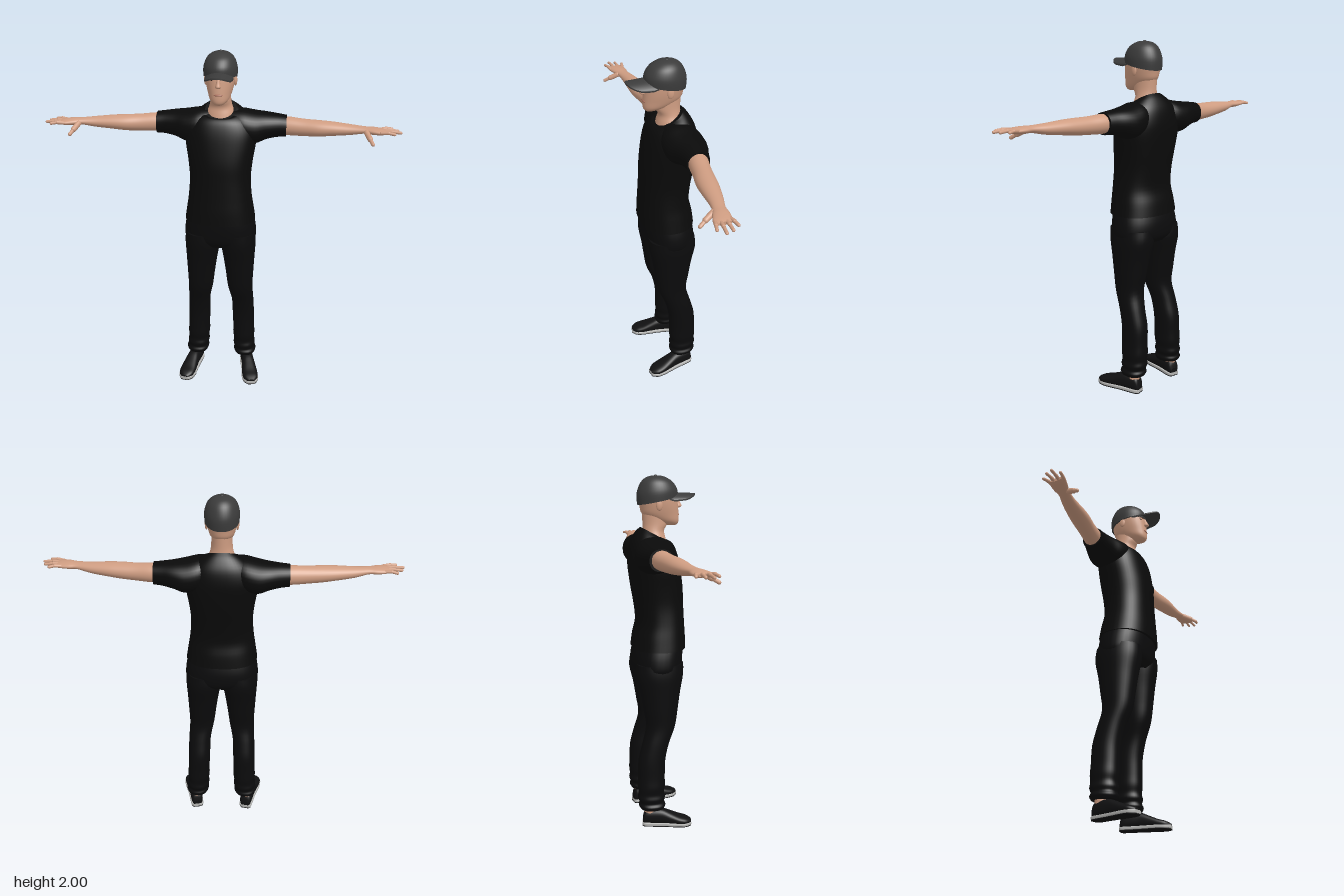
import * as THREE from 'three';
import { mergeGeometries } from 'three/addons/utils/BufferGeometryUtils.js';

const material = (name, color) => Object.assign(new THREE.MeshStandardMaterial({ color }), { name });

// Which coordinate is the axis, then the two across it
const AXES = { y: [1, 0, 2], x: [0, 2, 1], z: [2, 1, 0] };

const spline = (a, b, c, d, t) =>
  0.5 * (2 * b + (c - a) * t + (2 * a - 5 * b + 4 * c - d) * t * t + (3 * b - a - 3 * c + d) * t * t * t);

// Smooth skin over cross-sections, each row: [position, u0, u1, v0, v1, tilt]
function loft(axis, rows, { exp = 2, sides = 32, steps = 4 } = {}) {
  const [P, U, V] = AXES[axis];
  const at = (i, k) => rows[Math.min(Math.max(i, 0), rows.length - 1)][k] ?? 0;
  const rings = [];
  for (let i = 0; i < rows.length - 1; i++) {
    for (let s = 0; s < steps; s++) {
      rings.push([0, 1, 2, 3, 4, 5].map(k => spline(at(i - 1, k), at(i, k), at(i + 1, k), at(i + 2, k), s / steps)));
    }
  }
  rings.push([0, 1, 2, 3, 4, 5].map(k => at(rows.length - 1, k)));

  const pos = [], index = [];
  const push = (p, u, v) => {
    const q = [0, 0, 0];
    q[P] = p; q[U] = u; q[V] = v;
    pos.push(...q);
  };
  const round = c => Math.sign(c) * Math.abs(c) ** (2 / exp);
  const addRing = ([p, u0, u1, v0, v1, tilt]) => {
    for (let j = 0; j < sides; j++) {
      const t = (j / sides) * Math.PI * 2, s = round(Math.sin(t));
      push(p + tilt * s, (u0 + u1) / 2 + (u1 - u0) / 2 * round(Math.cos(t)), (v0 + v1) / 2 + (v1 - v0) / 2 * s);
    }
  };
  rings.forEach(addRing);
  for (let i = 0; i < rings.length - 1; i++) {
    for (let j = 0; j < sides; j++) {
      const a = i * sides + j, b = i * sides + (j + 1) % sides;
      index.push(a, a + sides, b, b, a + sides, b + sides);
    }
  }
  // End caps with their own vertices, so the rims stay sharp
  [rings[0], rings[rings.length - 1]].forEach((r, end) => {
    const start = pos.length / 3;
    addRing(r);
    push(r[0], (r[1] + r[2]) / 2, (r[3] + r[4]) / 2);
    for (let j = 0; j < sides; j++) {
      const a = start + j, b = start + (j + 1) % sides, c = start + sides;
      index.push(...(end ? [a, c, b] : [a, b, c]));
    }
  });
  const geo = new THREE.BufferGeometry();
  geo.setAttribute('position', new THREE.Float32BufferAttribute(pos, 3));
  geo.setIndex(index);
  geo.computeVertexNormals();
  return geo;
}

// Rows symmetrical in x: [y, half width, back z, front z, tilt]
const sym = rows => rows.map(([y, w, b, f, t = 0]) => [y, -w, w, b, f, t]);

// Rounded rod between two points
function rod(a, b, r) {
  const A = new THREE.Vector3(...a), B = new THREE.Vector3(...b);
  const dir = B.clone().sub(A), mid = A.add(B).multiplyScalar(0.5);
  const geo = new THREE.CapsuleGeometry(r, dir.length(), 5, 10);
  geo.applyQuaternion(new THREE.Quaternion().setFromUnitVectors(new THREE.Vector3(0, 1, 0), dir.normalize()));
  geo.deleteAttribute('uv');
  return geo.translate(mid.x, mid.y, mid.z);
}

const blob = (x, y, z, sx, sy, sz) => new THREE.SphereGeometry(1, 20, 14).scale(sx, sy, sz).translate(x, y, z);

function mirrored(geo) {
  const m = geo.clone().scale(-1, 1, 1), ix = m.index.array;
  for (let i = 0; i < ix.length; i += 3) [ix[i], ix[i + 1]] = [ix[i + 1], ix[i]];
  return m;
}

export function createModel() {
  const skin = material('skin', 0xcf9d82), shirt = material('shirt black', 0x0a0a0a);
  const trousers = material('trouser black', 0x0b0b0c), shoe = material('shoe black', 0x111112);
  const sole = material('sole grey', 0xb4b4b2), cap = material('cap grey', 0x3b3b3b);
  const dark = material('eye brown', 0x2c1d17), lip = material('lip', 0xa9705e), brow = material('brow', 0x6b4a3b);

  const model = new THREE.Group();
  model.name = 'man';
  const add = (name, geo, mat) => {
    const mesh = new THREE.Mesh(geo, mat);
    mesh.name = name;
    model.add(mesh);
  };
  const pair = (name, geo, mat) => {
    add('left ' + name, geo, mat);
    add('right ' + name, mirrored(geo), mat);
  };

  // Head and neck
  add('head', loft('y', sym([
    [1.728, 0.02, 0.03, 0.078], [1.738, 0.036, 0.0, 0.09], [1.757, 0.053, -0.05, 0.095], [1.79, 0.066, -0.108, 0.094],
    [1.83, 0.076, -0.122, 0.09], [1.87, 0.081, -0.128, 0.085], [1.91, 0.08, -0.12, 0.074], [1.95, 0.06, -0.09, 0.04],
  ]), { exp: 2.15 }), skin);
  add('neck', loft('y', sym([
    [1.6, 0.08, -0.1, 0.035], [1.66, 0.077, -0.108, 0.02], [1.7, 0.062, -0.108, 0.012],
    [1.74, 0.056, -0.107, 0.03], [1.8, 0.055, -0.11, 0.03],
  ])), skin);
  add('nose', loft('y', sym([
    [1.822, 0.01, 0.07, 0.098], [1.831, 0.016, 0.07, 0.112], [1.85, 0.011, 0.07, 0.104], [1.88, 0.008, 0.06, 0.09],
  ]), { sides: 16 }), skin);
  pair('ear', blob(0.08, 1.842, -0.03, 0.009, 0.03, 0.018).rotateX(0), skin);
  pair('eye', blob(0.033, 1.863, 0.071, 0.012, 0.005, 0.009), dark);
  pair('eyebrow', rod([0.02, 1.878, 0.08], [0.048, 1.879, 0.066], 0.0035), brow);
  add('mouth', blob(0, 1.786, 0.087, 0.024, 0.007, 0.011), lip);

  // Cap: dome, curved bill and button
  add('cap dome', loft('y', sym([
    [1.862, 0.09, -0.135, 0.087, 0.022], [1.91, 0.091, -0.138, 0.085, 0.012], [1.955, 0.077, -0.12, 0.062, 0.004],
    [1.98, 0.054, -0.094, 0.032], [1.992, 0.027, -0.064, 0.002], [1.995, 0.003, -0.035, -0.029],
  ]), { sides: 40 }), cap);
  const bill = new THREE.BoxGeometry(2, 0.008, 1, 24, 1, 8);
  const p = bill.attributes.position;
  for (let i = 0; i < p.count; i++) {
    const u = p.getX(i), v = p.getZ(i) + 0.5;
    const front = 0.06 + 0.125 * Math.max(0, 1 - u * u) ** 0.4;
    p.setXYZ(i, 0.075 * u, 1.903 - 0.032 * u * u - 0.008 * v + p.getY(i), 0.03 + v * (front - 0.03));
  }
  bill.computeVertexNormals();
  add('cap bill', bill, cap);
  add('cap button', blob(0, 1.994, -0.034, 0.009, 0.005, 0.009), cap);

  // Shirt body with a scooped collar, and sleeves
  add('shirt body', loft('y', sym([
    [1.05, 0.2, -0.175, 0.127], [1.12, 0.189, -0.165, 0.125], [1.2, 0.177, -0.148, 0.12], [1.3, 0.171, -0.158, 0.115],
    [1.4, 0.18, -0.175, 0.11], [1.5, 0.195, -0.187, 0.095], [1.57, 0.193, -0.188, 0.08], [1.63, 0.165, -0.175, 0.062, -0.01],
    [1.668, 0.118, -0.145, 0.042, -0.025], [1.68, 0.086, -0.117, 0.031, -0.04],
  ]), { exp: 2.35, sides: 48 }), shirt);
  pair('sleeve', loft('x', [
    [0.06, -0.14, 0.02, 1.53, 1.676], [0.12, -0.175, 0.04, 1.5, 1.677], [0.19, -0.185, 0.03, 1.488, 1.664],
    [0.25, -0.175, 0.005, 1.51, 1.656], [0.31, -0.155, -0.012, 1.523, 1.649], [0.358, -0.143, -0.018, 1.526, 1.643],
  ], { exp: 2.2 }), shirt);

  // Arms, from under the sleeve down to the palm
  pair('arm', loft('x', [
    [0.3, -0.135, -0.033, 1.538, 1.635], [0.37, -0.13, -0.025, 1.534, 1.636], [0.45, -0.115, -0.015, 1.536, 1.63],
    [0.53, -0.105, 0, 1.54, 1.628], [0.6, -0.095, 0.004, 1.548, 1.625], [0.7, -0.073, 0.005, 1.56, 1.617],
    [0.775, -0.052, 0.014, 1.575, 1.612], [0.82, -0.053, 0.032, 1.574, 1.612], [0.865, -0.048, 0.045, 1.577, 1.608],
    [0.89, -0.038, 0.036, 1.585, 1.603],
  ]), skin);

  // Fingers: [base z, tip x, tip z]
  const fingers = [[0.036, 0.928, 0.052], [0.012, 0.962, 0.02], [-0.014, 0.95, -0.016], [-0.037, 0.922, -0.052]];
  pair('fingers', mergeGeometries(fingers.flatMap(([z, tx, tz]) => {
    const knuckle = [(0.865 + tx) / 2, 1.598, (z + tz) / 2];
    return [rod([0.86, 1.594, z], knuckle, 0.0098), rod(knuckle, [tx, 1.594, tz], 0.0082)];
  })), skin);
  pair('thumb', mergeGeometries([
    rod([0.785, 1.588, 0.012], [0.803, 1.565, 0.055], 0.015), rod([0.803, 1.565, 0.055], [0.817, 1.546, 0.086], 0.01),
  ]), skin);

  // Trousers: hips and two legs gathered at the cuffs
  add('trouser hips', loft('y', sym([
    [0.89, 0.16, -0.14, 0.07], [0.93, 0.203, -0.172, 0.1], [1.0, 0.203, -0.175, 0.11], [1.07, 0.188, -0.16, 0.112],
  ]), { exp: 2.3, sides: 40 }), trousers);
  pair('trouser leg', loft('y', [
    [0.105, 0.088, 0.208, -0.158, -0.02], [0.125, 0.08, 0.215, -0.168, -0.012], [0.145, 0.085, 0.205, -0.162, -0.02],
    [0.17, 0.077, 0.209, -0.172, -0.014], [0.2, 0.08, 0.203, -0.168, -0.02], [0.24, 0.074, 0.206, -0.172, -0.014],
    [0.3, 0.074, 0.202, -0.169, -0.014], [0.4, 0.07, 0.2, -0.165, -0.01], [0.5, 0.066, 0.196, -0.14, 0.012],
    [0.6, 0.046, 0.191, -0.116, 0.05], [0.7, 0.033, 0.195, -0.13, 0.066], [0.8, 0.018, 0.2, -0.147, 0.08],
    [0.9, 0.001, 0.205, -0.17, 0.098], [0.97, 0, 0.2, -0.165, 0.1],
  ], { exp: 2.25 }), trousers);

  // Ankles and shoes, toes turned out
  pair('ankle', loft('y', [[0.06, 0.125, 0.19, -0.138, -0.06], [0.1, 0.125, 0.188, -0.138, -0.065], [0.16, 0.122, 0.188, -0.138, -0.065]]), skin);
  const place = geo => geo.rotateY(0.21).translate(0.178, 0, -0.005);
  // Foot outline: [z, half width, top of the upper]
  const foot = [[-0.143, 0.022, 0.05], [-0.128, 0.034, 0.093], [-0.08, 0.037, 0.102], [-0.03, 0.038, 0.1],
    [0.02, 0.043, 0.08], [0.07, 0.047, 0.059], [0.11, 0.042, 0.047], [0.138, 0.02, 0.033]];
  const slab = (y0, y1, grow) => place(loft('z',
    foot.map(([z, w]) => [z * 1.015, y0, y1, -w - grow, w + grow]), { exp: 7 }));
  pair('shoe upper', place(loft('z', foot.map(([z, w, top]) => [z, 0.008, top, -w, w]), { exp: 2.5 })), shoe);
  pair('shoe sole', slab(0.005, 0.023, 0.003), sole);
  pair('shoe tread', slab(0, 0.006, 0.001), shoe);

  return model;
}
